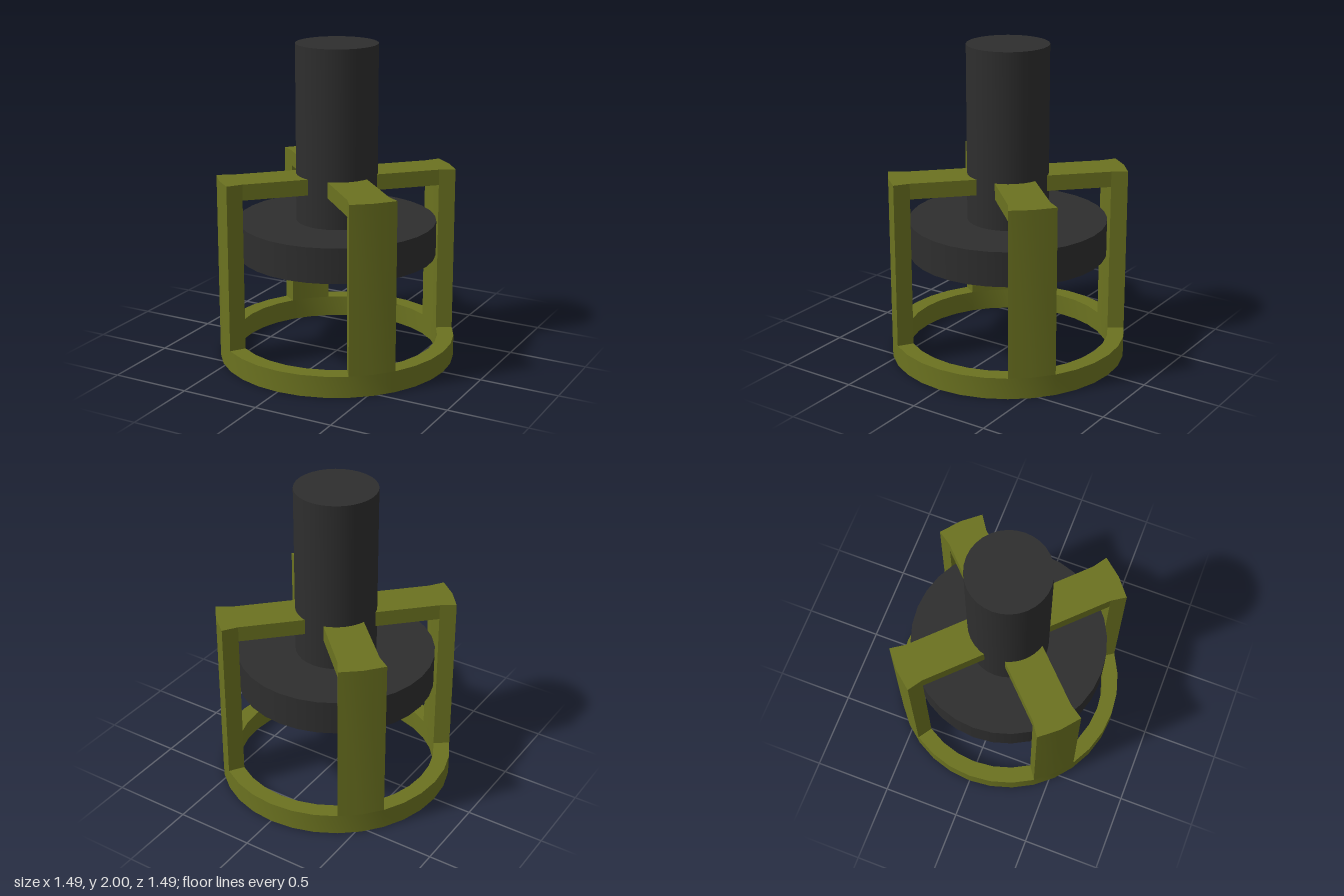
import * as THREE from 'three';
import { toCreasedNormals } from 'three/addons/utils/BufferGeometryUtils.js';

const SIDES = 32;
const STEP = (Math.PI * 2) / SIDES;
const OUTER = 0.747, INNER = 0.643;
const BASE_TOP = 0.135, CAGE_TOP = 1.19, ARM_BOTTOM = 1.09;

const olive = new THREE.MeshStandardMaterial({ color: 0x6b7220 });
const charcoal = new THREE.MeshStandardMaterial({ color: 0x2e2e2e });

const polar = (r, a) => new THREE.Vector2(r * Math.cos(a), r * Math.sin(a));
const circle = (r) => Array.from({ length: SIDES }, (_, i) => polar(r, i * STEP));

// Upright prism of a plan outline between two heights
function prism(name, points, y0, y1, hole) {
  const shape = new THREE.Shape(points);
  if (hole) shape.holes.push(new THREE.Path(hole));
  const extrusion = new THREE.ExtrudeGeometry(shape, { depth: y1 - y0, bevelEnabled: false });
  const geometry = toCreasedNormals(extrusion, 0.5);
  geometry.rotateX(-Math.PI / 2).translate(0, y0, 0);
  const mesh = new THREE.Mesh(geometry, olive);
  mesh.name = name;
  return mesh;
}

function cylinder(name, radius, y0, y1) {
  const geometry = new THREE.CylinderGeometry(radius, radius, y1 - y0, SIDES);
  const mesh = new THREE.Mesh(geometry, charcoal);
  mesh.position.y = (y0 + y1) / 2;
  mesh.name = name;
  return mesh;
}

export function createModel() {
  const model = new THREE.Group();
  model.name = 'cagedPlunger';

  // Open base ring
  model.add(prism('baseRing', circle(OUTER), 0, BASE_TOP, circle(INNER)));

  // Four posts flush with the ring, each with an arm reaching in to the shaft
  const outerArc = [-STEP, 0, STEP].map((a) => polar(OUTER, a));
  const innerArc = [STEP, 0, -STEP].map((a) => polar(INNER, a));
  const halfWidth = innerArc[0].y;
  const armOutline = [
    new THREE.Vector2(0.22, -halfWidth),
    ...[...innerArc].reverse(),
    new THREE.Vector2(0.22, halfWidth),
  ];
  for (let i = 0; i < 4; i++) {
    const bracket = new THREE.Group();
    bracket.name = 'bracket' + (i + 1);
    bracket.add(prism('post', [...outerArc, ...innerArc], BASE_TOP, CAGE_TOP));
    bracket.add(prism('arm', armOutline, ARM_BOTTOM, CAGE_TOP));
    bracket.rotation.y = Math.PI / 4 + (i * Math.PI) / 2;
    model.add(bracket);
  }

  // Disc and shaft held inside the cage
  model.add(cylinder('disc', 0.623, 0.67, 0.89));
  model.add(cylinder('shaft', 0.255, 0.89, 2));
  return model;
}
